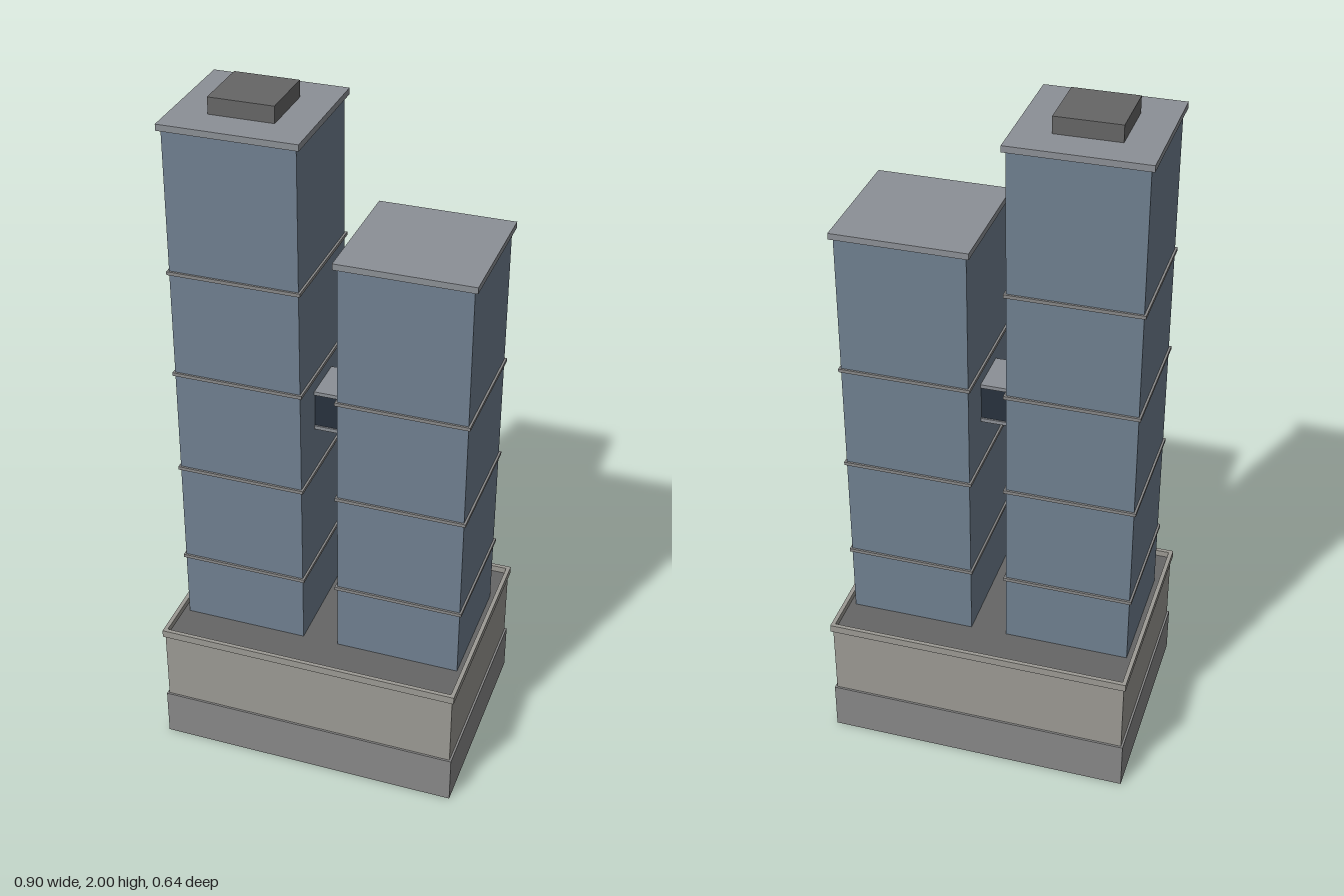
import * as THREE from 'three';

const mat = (color) => new THREE.MeshStandardMaterial({ color });

export function createModel() {
  const model = new THREE.Group();
  const stone = mat(0x888888), wall = mat(0x9c9a94), glass = mat(0x708090);
  const roof = mat(0x8c9096), dark = mat(0x666666), bridgeGlass = mat(0x28323e);

  // Box given by centre x, z, bottom and top heights, width and depth
  const box = (parent, name, material, x, z, y0, y1, w, d) => {
    const mesh = new THREE.Mesh(new THREE.BoxGeometry(w, y1 - y0, d), material);
    mesh.position.set(x, (y0 + y1) / 2, z);
    mesh.name = name;
    parent.add(mesh);
  };

  // Podium with its plinth, roof deck and parapet
  const podium = new THREE.Group();
  podium.name = 'podium';
  box(podium, 'plinth', stone, 0, 0, 0, 0.147, 0.896, 0.636);
  box(podium, 'podiumWalls', wall, 0, 0, 0.147, 0.37, 0.884, 0.624);
  box(podium, 'podiumDeck', dark, 0, 0, 0.37, 0.374, 0.872, 0.612);
  for (const s of [-1, 1]) {
    box(podium, 'parapetLong', wall, 0, s * 0.312, 0.37, 0.393, 0.896, 0.012);
    box(podium, 'parapetShort', wall, s * 0.442, 0, 0.37, 0.393, 0.012, 0.612);
  }
  model.add(podium);

  // Towers with thin floor bands and an overhanging roof slab
  const addTower = (name, x, top, bands) => {
    const tower = new THREE.Group();
    tower.name = name;
    box(tower, 'towerBody', glass, x, 0, 0.37, top, 0.366, 0.366);
    for (let i = 0; i < bands; i++) {
      const y = 0.585 + i * 0.314;
      box(tower, 'floorBand', stone, x, 0, y - 0.005, y + 0.005, 0.378, 0.378);
    }
    box(tower, 'roofSlab', roof, x, 0, top, top + 0.018, 0.386, 0.386);
    model.add(tower);
    return tower;
  };
  const tall = addTower('tallTower', -0.236, 1.935, 4);
  addTower('shortTower', 0.236, 1.621, 3);
  box(tall, 'roofPlantRoom', dark, -0.236, 0, 1.953, 2, 0.183, 0.183);

  // Sky bridge between the towers
  const bridge = new THREE.Group();
  bridge.name = 'skyBridge';
  box(bridge, 'bridgeFloor', roof, 0, 0, 1.04, 1.051, 0.106, 0.144);
  box(bridge, 'bridgeGlazing', bridgeGlass, 0, 0, 1.051, 1.152, 0.106, 0.134);
  box(bridge, 'bridgeRoof', roof, 0, 0, 1.152, 1.163, 0.106, 0.144);
  model.add(bridge);

  return model;
}
